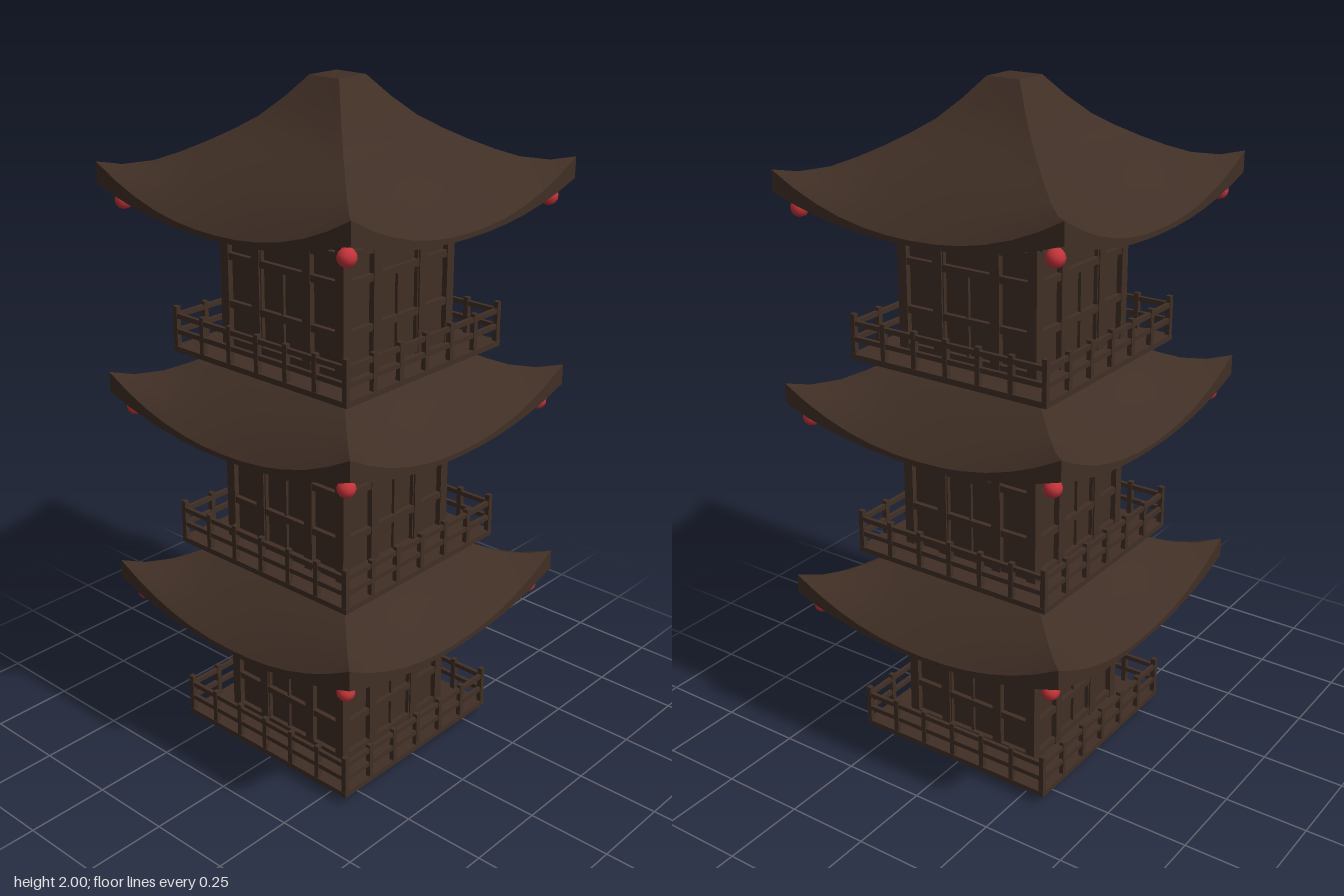
import * as THREE from 'three';

const timber = new THREE.MeshStandardMaterial({ color: 0x402f25 });
timber.name = 'dark timber';
const red = new THREE.MeshStandardMaterial({ color: 0xc4343a });
red.name = 'lantern red';

const TIER = 0.604;
const FRAME_X = [-0.215, -0.095, 0.095, 0.215];

function add(parent, name, geometry, x = 0, y = 0, z = 0, material = timber) {
  const mesh = new THREE.Mesh(geometry, material);
  mesh.name = name;
  mesh.position.set(x, y, z);
  parent.add(mesh);
  return mesh;
}

const box = (parent, name, w, h, d, x, y, z) =>
  add(parent, name, new THREE.BoxGeometry(w, h, d), x, y, z);

// Square frustum between two half widths
function frustum(bottom, top, height) {
  const g = new THREE.CylinderGeometry(top * Math.SQRT2, bottom * Math.SQRT2, height, 4, 1);
  g.rotateY(Math.PI / 4);
  const flat = g.toNonIndexed();
  flat.computeVertexNormals();
  return flat;
}

// One side of a square roof; each level is [half width, height at middle, height at corner]
function roofSide(levels, columns = 12) {
  const position = [], index = [];
  levels.forEach(([r, mid, corner], i) => {
    for (let j = 0; j <= columns; j++) {
      const u = (2 * j) / columns - 1;
      position.push(u * r, mid + (corner - mid) * Math.pow(Math.abs(u), 2.2), r);
      if (i < levels.length - 1 && j < columns) {
        const a = i * (columns + 1) + j, c = a + columns + 1;
        index.push(a, c, a + 1, c, c + 1, a + 1);
      }
    }
  });
  const g = new THREE.BufferGeometry();
  g.setAttribute('position', new THREE.Float32BufferAttribute(position, 3));
  g.setIndex(index);
  g.computeVertexNormals();
  return g;
}

const SKIRT = [[0.25, 0.612, 0.621], [0.30, 0.582, 0.594], [0.35, 0.545, 0.572],
  [0.41, 0.497, 0.562], [0.46, 0.45, 0.57]];
const PEAK = [[0.053, 0.796, 0.796], [0.10, 0.735, 0.739], [0.15, 0.682, 0.688], [0.20, 0.645, 0.652]];
const FASCIA = [[0.46, 0.45, 0.57], [0.46, 0.436, 0.51]];
const SOFFIT = [[0.46, 0.436, 0.51], [0.41, 0.452, 0.517], [0.38, 0.488, 0.525], [0.2, 0.53, 0.54]];

// Wedge bracket: runs out along +z, sloping underneath
function bracketGeometry(reach) {
  const s = new THREE.Shape();
  s.moveTo(0, 0);
  s.lineTo(reach, 0.075);
  s.lineTo(reach, 0.10);
  s.lineTo(0, 0.135);
  const g = new THREE.ExtrudeGeometry(s, { depth: 0.03, bevelEnabled: false });
  g.translate(0, 0, -0.015);
  g.rotateY(-Math.PI / 2);
  return g;
}

// Everything that repeats on the four sides of a storey
function side(isTop) {
  const g = new THREE.Group();
  g.name = 'storeySide';

  // Wall framing
  for (const x of FRAME_X) box(g, 'wallPost', 0.03, 0.48, 0.02, x, 0.285, 0.22);
  for (const y of [0.06, 0.17, 0.308, 0.385, 0.44])
    box(g, 'wallBeam', 0.44, 0.02, 0.017, 0, y, 0.2195);
  for (const x of [-0.08, 0.08]) box(g, 'doorStile', 0.008, 0.43, 0.012, x, 0.26, 0.219);
  box(g, 'doorCentre', 0.008, 0.25, 0.01, 0, 0.185, 0.217);

  // Eave brackets, with a diagonal one at the corner
  for (const x of [-0.095, 0.095]) add(g, 'eaveBracket', bracketGeometry(0.09), x, 0.395, 0.22);
  add(g, 'cornerBracket', bracketGeometry(0.11), 0.215, 0.395, 0.215).rotation.y = Math.PI / 4;

  // Railing
  for (let i = -3; i < 3; i++) {
    const h = i === -3 ? 0.12 : 0.11;
    box(g, 'railPost', 0.015, h, 0.015, i * 0.1065, 0.04 + h / 2, 0.3195);
  }
  for (const y of [0.087, 0.133]) box(g, 'rail', 0.645, 0.014, 0.012, 0, y, 0.3195);

  // Roof
  add(g, 'roofSlope', roofSide(isTop ? [...PEAK, ...SKIRT] : [[0.2, 0.63, 0.635], ...SKIRT]));
  add(g, 'roofEdge', roofSide(FASCIA));
  add(g, 'roofUnderside', roofSide(SOFFIT));

  // Corner lantern
  add(g, 'lantern', new THREE.IcosahedronGeometry(0.026, 1), 0.407, 0.463, 0.415, red);
  add(g, 'lanternHanger', new THREE.CylinderGeometry(0.004, 0.004, 0.05, 5), 0.407, 0.502, 0.415);
  return g;
}

export function createModel() {
  const model = new THREE.Group();
  model.name = 'pagoda';
  for (let t = 0; t < 3; t++) {
    const storey = new THREE.Group();
    storey.name = 'storey';
    storey.position.y = t * TIER;
    add(storey, 'platformBase', frustum(0.275, 0.328, 0.027), 0, 0.0135, 0);
    box(storey, 'platformDeck', 0.656, 0.016, 0.656, 0, 0.035, 0);
    box(storey, 'wallCore', 0.426, 0.50, 0.426, 0, 0.29, 0);
    for (let k = 0; k < 4; k++) {
      const s = side(t === 2);
      s.rotation.y = (k * Math.PI) / 2;
      storey.add(s);
    }
    if (t === 2) box(storey, 'roofCap', 0.106, 0.008, 0.106, 0, 0.792, 0);
    model.add(storey);
  }
  return model;
}
